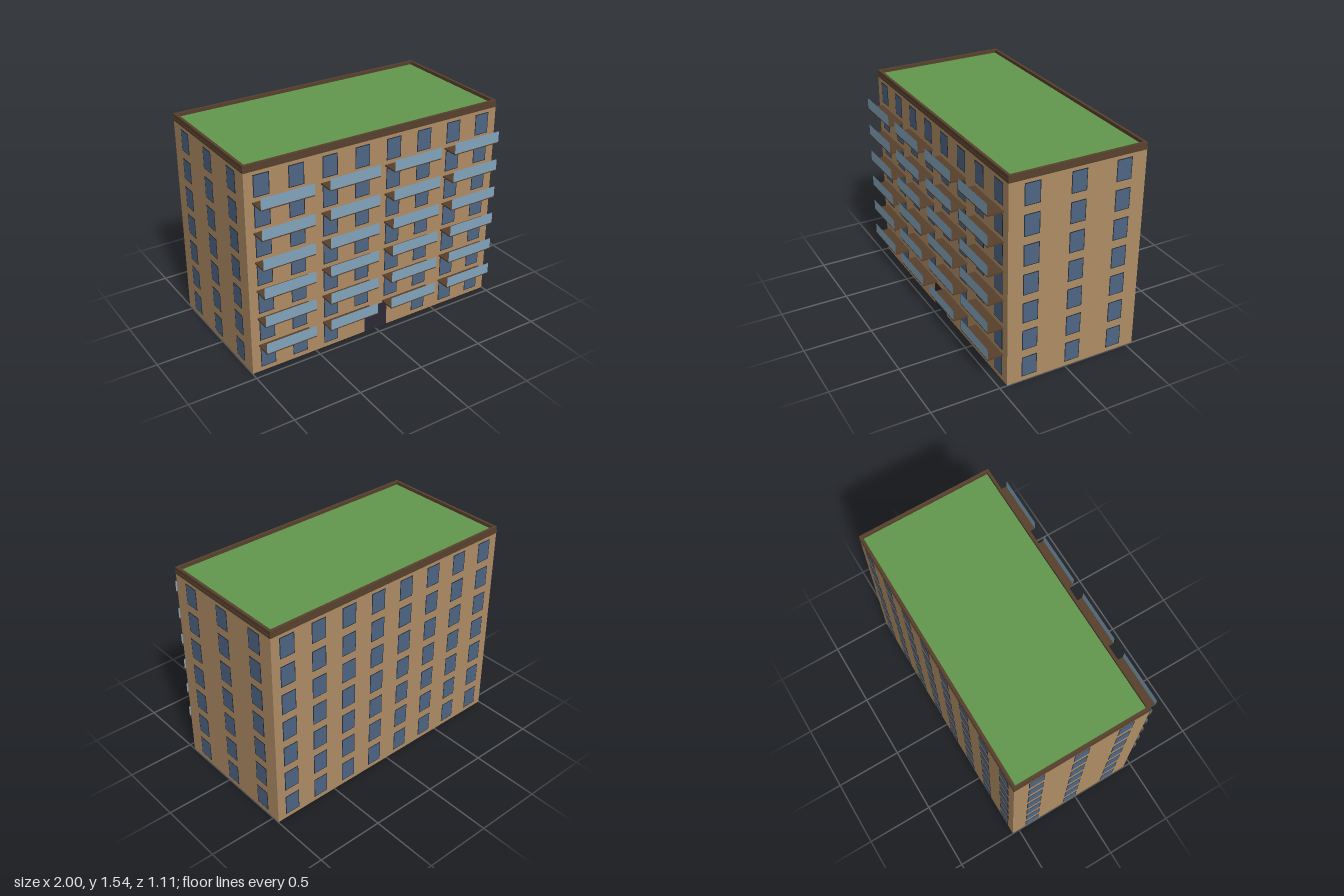
import * as THREE from 'three';

const material = (name, color, side = THREE.FrontSide) => {
  const m = new THREE.MeshStandardMaterial({ color, side });
  m.name = name;
  return m;
};

export function createModel() {
  const wall = material('tan wall', 0xb08d65);
  const trim = material('brown trim', 0x58412d);
  const green = material('green roof', 0x62994f);
  const glass = material('blue glass', 0x4f6684);
  const frame = material('dark frame', 0x252d3b);
  const rail = material('pale blue railing', 0x83a5be, THREE.DoubleSide);
  const doorDark = material('dark door', 0x2c2a36);

  const W = 1.994, D = 0.998, CZ = -0.055; // block width, depth and centre in z
  const FLOORS = 7, STOREY = 0.2137, H = FLOORS * STOREY;
  const FRONT = CZ + D / 2;

  const model = new THREE.Group();
  model.name = 'apartmentBlock';

  const add = (parent, name, geometry, mat, x, y, z) => {
    const mesh = new THREE.Mesh(geometry, mat);
    mesh.name = name;
    mesh.position.set(x, y, z);
    parent.add(mesh);
    return mesh;
  };
  const box = (name, w, h, d, mat, x, y, z) =>
    add(model, name, new THREE.BoxGeometry(w, h, d), mat, x, y, z);

  // Main block
  box('walls', W, H, D, wall, 0, H / 2, CZ);

  // Roof: overhanging slab, planted surface and parapet
  box('roofSlab', 2, 0.02, D + 0.006, trim, 0, H + 0.01, CZ);
  const P = 0.02, PH = 0.03, py = H + 0.02 + PH / 2 - 0.001;
  box('greenRoof', W - 2 * P, 0.006, D - 2 * P, green, 0, H + 0.022, CZ);
  for (const s of [-1, 1]) {
    box('parapetLong', W, PH, P, trim, 0, py, CZ + s * (D - P) / 2);
    box('parapetShort', P, PH, D - 2 * P, trim, s * (W - P) / 2, py, CZ);
  }

  // Windows: a dark frame plate with a glass plate in front of it
  const frameGeometry = new THREE.PlaneGeometry(0.115, 0.156);
  const glassGeometry = new THREE.PlaneGeometry(0.103, 0.144);
  const facade = (name, angle, distance, columns, spacing, skip = () => false) => {
    const group = new THREE.Group();
    group.name = name;
    group.position.z = CZ;
    group.rotation.y = angle;
    for (let floor = 0; floor < FLOORS; floor++) {
      for (let c = 0; c < columns; c++) {
        if (skip(floor, c)) continue;
        const x = (c - (columns - 1) / 2) * spacing;
        const y = floor * STOREY + 0.111;
        add(group, 'windowFrame', frameGeometry, frame, x, y, distance + 0.0012);
        add(group, 'windowGlass', glassGeometry, glass, x, y, distance + 0.0026);
      }
    }
    model.add(group);
  };
  const besideDoor = (floor, c) => floor === 0 && (c === 3 || c === 4);
  facade('frontWindows', 0, D / 2, 8, 0.25, besideDoor);
  facade('backWindows', Math.PI, D / 2, 8, 0.25);
  facade('leftWindows', Math.PI / 2, W / 2, 3, D / 3);
  facade('rightWindows', -Math.PI / 2, W / 2, 3, D / 3);

  // Entrance door
  add(model, 'door', new THREE.PlaneGeometry(0.19, 0.198), doorDark, 0, 0.099, FRONT + 0.002);

  // Balconies: thin slab with a flat railing panel along its front edge
  const BW = 0.385, BD = 0.113;
  for (let floor = 1; floor < FLOORS; floor++) {
    for (const x of [-0.75, -0.25, 0.25, 0.75]) {
      const y = floor * STOREY - 0.003;
      box('balconySlab', BW, 0.011, BD, trim, x, y, FRONT + BD / 2);
      add(model, 'balconyRailing', new THREE.PlaneGeometry(BW, 0.08), rail,
        x, y + 0.043, FRONT + BD + 0.0008);
    }
  }
  return model;
}
